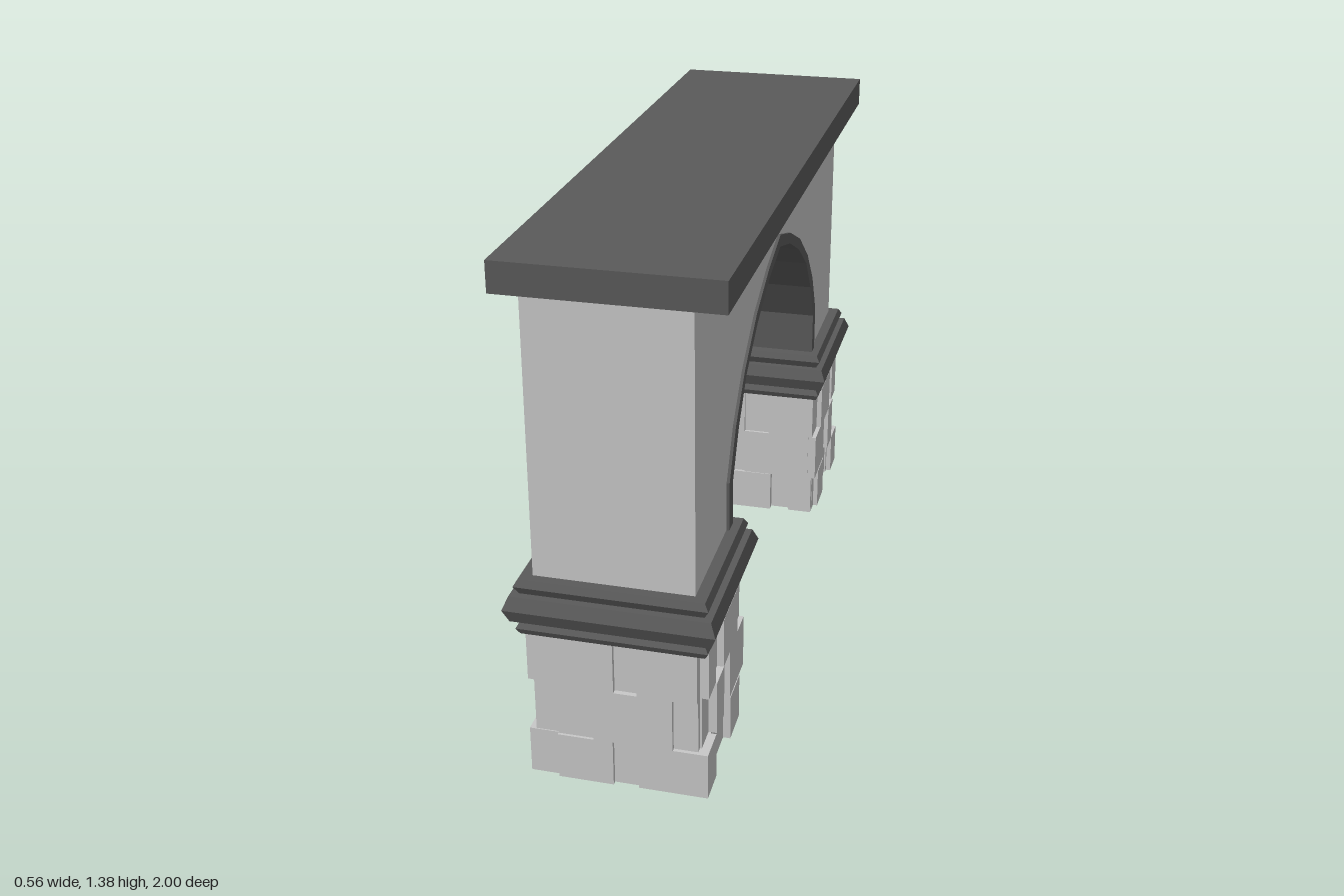
import * as THREE from 'three';

const stone = new THREE.MeshStandardMaterial({ color: 0xc8c8c8, flatShading: true });
stone.name = 'light stone';
const trim = new THREE.MeshStandardMaterial({ color: 0x5a5a5a, flatShading: true });
trim.name = 'dark trim';

function add(parent, name, geometry, material) {
  const mesh = new THREE.Mesh(geometry, material);
  mesh.name = name;
  parent.add(mesh);
  return mesh;
}

// Box given by its limits
function block(x0, x1, y0, y1, z0, z1) {
  return new THREE.BoxGeometry(x1 - x0, y1 - y0, z1 - z0)
    .translate((x0 + x1) / 2, (y0 + y1) / 2, (z0 + z1) / 2);
}

// Rectangular frustum between two levels, each [y, half width, half depth]
function frustum([y0, w0, d0], [y1, w1, d1]) {
  const g = new THREE.BoxGeometry(2, 2, 2);
  const p = g.attributes.position;
  for (let i = 0; i < p.count; i++) {
    const top = p.getY(i) > 0;
    p.setXYZ(i, p.getX(i) * (top ? w1 : w0), top ? y1 : y0, p.getZ(i) * (top ? d1 : d0));
  }
  g.computeVertexNormals();
  return g;
}

// Extrude a (z, y) outline across the width of the bridge
function across(points, width) {
  const shape = new THREE.Shape(points.map(([z, y]) => new THREE.Vector2(z, y)));
  return new THREE.ExtrudeGeometry(shape, { depth: width, bevelEnabled: false })
    .translate(0, 0, -width / 2).rotateY(-Math.PI / 2);
}

// Complete half of an arch line (ending at its apex) by mirroring
const mirrored = half => [...half, ...half.slice(0, -1).reverse().map(([z, y]) => [-z, y])];
const outer = mirrored([[0.615, 0.56], [0.615, 0.71], [0.545, 0.84], [0.445, 0.95],
  [0.305, 1.05], [0.15, 1.12], [0, 1.165]]);
const inner = mirrored([[0.575, 0.56], [0.575, 0.70], [0.512, 0.82], [0.425, 0.93],
  [0.293, 1.02], [0.145, 1.09], [0, 1.13]]);

// Courses of stones: [start, end, face position] on each side of the pier
const courses = [
  { y: [0, 0.13],
    front: [[-0.15, -0.005, 0.21], [-0.005, 0.06, 0.198], [0.06, 0.225, 0.207]],
    back: [[-0.21, -0.06, 0.205], [-0.06, 0.09, 0.21], [0.15, 0.225, 0.202]],
    right: [[-0.185, -0.15, 0.226], [-0.15, -0.045, 0.24], [-0.045, 0.115, 0.22], [0.115, 0.207, 0.24]],
    left: [[-0.2, -0.04, 0.227], [-0.04, 0.08, 0.216], [0.08, 0.2, 0.227]] },
  { y: [0.13, 0.28],
    front: [[-0.21, -0.15, 0.197], [-0.15, -0.055, 0.203], [-0.055, 0.15, 0.21], [0.15, 0.213, 0.197]],
    back: [[-0.21, -0.09, 0.21], [-0.09, 0.0, 0.2], [0.0, 0.213, 0.207]],
    right: [[-0.205, -0.045, 0.238], [-0.045, 0.03, 0.222], [0.03, 0.11, 0.24], [0.11, 0.18, 0.218]],
    left: [[-0.18, -0.1, 0.215], [-0.1, 0.06, 0.225], [0.06, 0.18, 0.215]] },
  { y: [0.28, 0.42],
    front: [[-0.21, -0.15, 0.203], [-0.15, 0, 0.21], [0, 0.06, 0.197], [0.06, 0.213, 0.21]],
    back: [[-0.15, 0.0, 0.21], [0.0, 0.08, 0.199], [0.08, 0.225, 0.207]],
    right: [[-0.185, -0.12, 0.222], [-0.12, 0.035, 0.24], [0.035, 0.105, 0.222], [0.105, 0.18, 0.236]],
    left: [[-0.2, -0.06, 0.227], [-0.06, 0.03, 0.216], [0.03, 0.2, 0.225]] },
];

// Moulding levels: [y, half width, half depth]
const mouldings = {
  lowerMoulding: [[0.42, 0.234, 0.212], [0.437, 0.243, 0.22], [0.463, 0.228, 0.205]],
  middleMoulding: [[0.463, 0.253, 0.23], [0.5, 0.267, 0.245], [0.534, 0.253, 0.23]],
  upperMoulding: [[0.534, 0.232, 0.21], [0.556, 0.244, 0.221], [0.574, 0.234, 0.212]],
};

function createPier(name, s) {
  const pier = new THREE.Group();
  pier.name = name;
  pier.position.z = 0.755 * s;
  add(pier, 'pierCore', block(-0.21, 0.213, 0, 0.425, -0.187, 0.187), stone);

  // Stones standing out from the core; s mirrors the layout front to back
  const stoneBlock = (x0, x1, y, z0, z1) => add(pier, 'stone',
    block(x0, x1, y[0], y[1], Math.min(z0 * s, z1 * s), Math.max(z0 * s, z1 * s)), stone);
  for (const c of courses) {
    for (const [a, b, d] of c.front) stoneBlock(a, b, c.y, 0.1, d);
    for (const [a, b, d] of c.back) stoneBlock(a, b, c.y, -d, -0.1);
    for (const [a, b, d] of c.right) stoneBlock(0.1, d, c.y, a, b);
    for (const [a, b, d] of c.left) stoneBlock(-d, -0.1, c.y, a, b);
  }

  // Stepped capital
  for (const [part, levels] of Object.entries(mouldings)) {
    for (let i = 0; i < levels.length - 1; i++) {
      add(pier, part, frustum(levels[i], levels[i + 1]), trim);
    }
  }
  return pier;
}

export function createModel() {
  const model = new THREE.Group();
  model.name = 'archway';

  model.add(createPier('frontPier', 1), createPier('backPier', -1));

  // Wall with the arched opening, its dark lining and the flat top
  const wall = [[0.94, 0.56], [0.94, 1.3], [-0.94, 1.3], [-0.94, 0.56], ...[...outer].reverse()];
  add(model, 'archWall', across(wall, 0.408), stone);
  add(model, 'archLining', across([...outer, ...[...inner].reverse()], 0.424), trim);
  add(model, 'topSlab', block(-0.28, 0.28, 1.3, 1.38, -0.94, 0.94), trim);

  return model;
}
